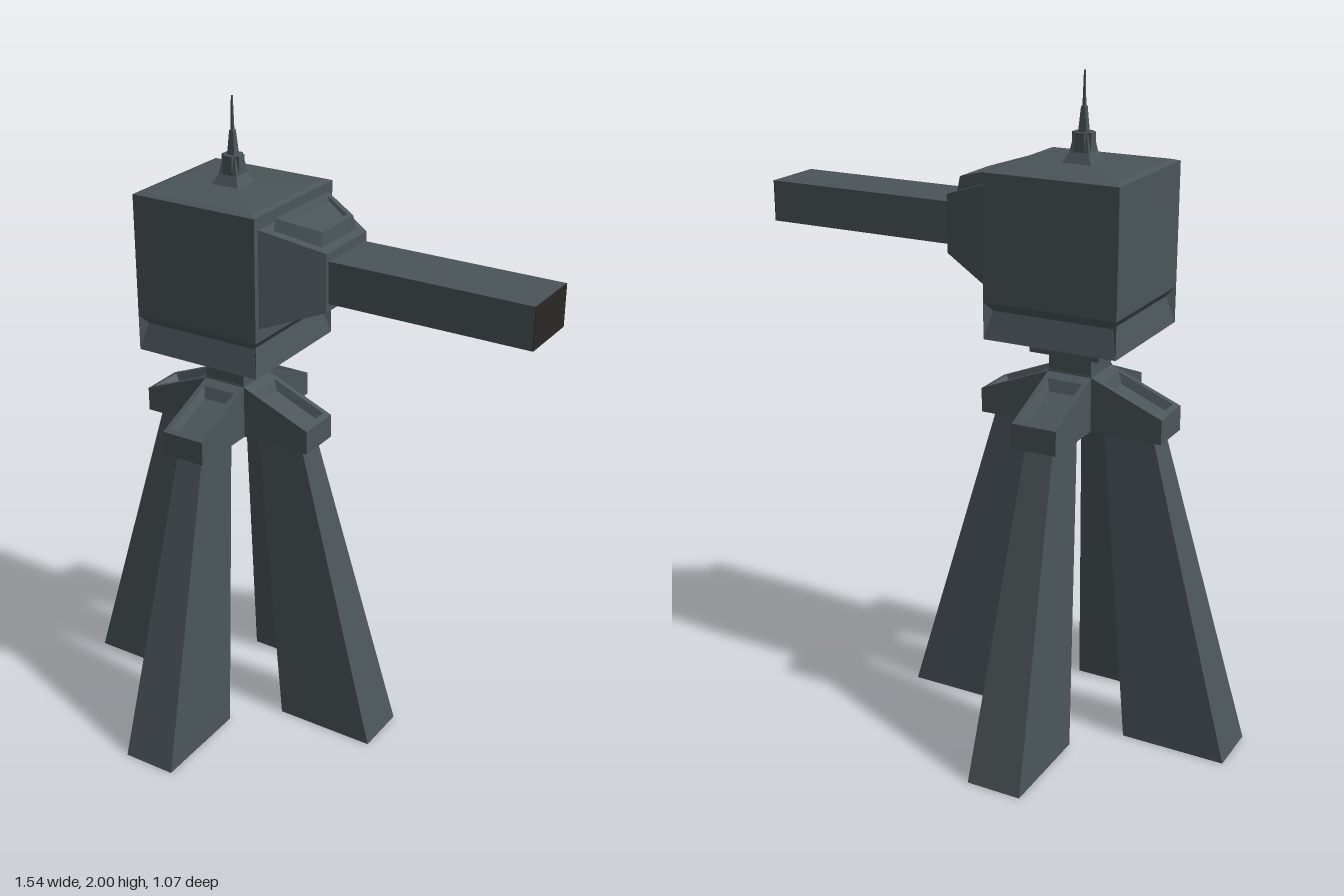
import * as THREE from 'three';

const armour = new THREE.MeshStandardMaterial({ color: 0x4a5559, flatShading: true });
const dark = new THREE.MeshStandardMaterial({ color: 0x2b2727, flatShading: true });

// Skin a stack of equal-length rings (counter-clockwise about the stacking axis) and cap both ends.
function loft(rings) {
  const pos = [];
  const v = (p) => new THREE.Vector3(...p);
  const tri = (a, b, c) => {
    const area = v(b).sub(v(a)).cross(v(c).sub(v(a))).length();
    if (area > 1e-8) pos.push(...a, ...b, ...c);
  };
  const n = rings[0].length;
  for (let k = 0; k + 1 < rings.length; k++) {
    const lo = rings[k], hi = rings[k + 1];
    for (let i = 0; i < n; i++) {
      const j = (i + 1) % n;
      tri(lo[i], lo[j], hi[j]);
      tri(lo[i], hi[j], hi[i]);
    }
  }
  const first = rings[0], last = rings[rings.length - 1];
  for (let i = 1; i + 1 < n; i++) {
    tri(first[0], first[i + 1], first[i]);
    tri(last[0], last[i], last[i + 1]);
  }
  const g = new THREE.BufferGeometry();
  g.setAttribute('position', new THREE.Float32BufferAttribute(pos, 3));
  g.computeVertexNormals();
  return g;
}

// Four-sided ring from x0 to x1; height and half-depth may differ at the two ends.
const quad = (x0, x1, y0, y1, z0, z1 = z0) =>
  [[x1, y1, z1], [x1, y1, -z1], [x0, y0, -z0], [x0, y0, z0]];
// Level square ring
const square = (h, y) => quad(-h, h, y, y, h);
// Upright ring for parts that run along x
const upright = (x, yLo, yHi, z) => [[x, yHi, z], [x, yLo, z], [x, yLo, -z], [x, yHi, -z]];
// Square ring with three points per corner; the sides are pushed in while the corners stay
const notched = (h, y, inset, depth) => {
  const e = h - inset, d = h - depth;
  return [
    [e, y, d], [h, y, h], [d, y, e], [d, y, -e], [h, y, -h], [e, y, -d],
    [-e, y, -d], [-h, y, -h], [-d, y, -e], [-d, y, e], [-h, y, h], [-e, y, d],
  ];
};

function add(parent, name, geometry, material = armour) {
  const m = new THREE.Mesh(geometry, material);
  m.name = name;
  parent.add(m);
  return m;
}

function box(parent, name, size, at, material) {
  const m = add(parent, name, new THREE.BoxGeometry(...size), material);
  m.position.set(...at);
  return m;
}

export function createModel() {
  const model = new THREE.Group();
  model.name = 'gunTower';
  const tower = new THREE.Group();
  tower.name = 'tower';
  tower.position.x = -0.237;
  model.add(tower);

  // Four splayed legs, each under a sloped shoulder with a sunken top panel
  const leg = loft([quad(0.208, 0.533, 0, 0, 0.085), quad(0.1, 0.25, 1, 1, 0.042)]);
  const shoulder = loft([
    quad(0.06, 0.293, 0.97, 0.97, 0.07),
    quad(0.06, 0.293, 1.14, 1.045, 0.07),
    quad(0.1, 0.275, 1.124, 1.052, 0.054),
    quad(0.115, 0.258, 1.09, 1.031, 0.044),
  ]);
  for (let i = 0; i < 4; i++) {
    const limb = new THREE.Group();
    limb.name = 'legAssembly';
    limb.rotation.y = i * Math.PI / 2;
    add(limb, 'leg', leg);
    add(limb, 'shoulder', shoulder);
    tower.add(limb);
  }

  // Hub, neck and turntable
  box(tower, 'hub', [0.14, 0.17, 0.14], [0, 1.055, 0]);
  box(tower, 'neck', [0.136, 0.1, 0.136], [0, 1.17, 0]);
  box(tower, 'turntable', [0.22, 0.055, 0.22], [0, 1.2275, 0]);

  // Head with a V-shaped groove near its foot and a very shallow roof
  const h = 0.208;
  add(tower, 'head', loft([
    notched(h, 1.25, 0, 0), notched(h, 1.332, 0.02, 0.022), notched(h, 1.36, 0, 0),
    notched(h, 1.732, 0, 0), notched(h - 0.018, 1.738, 0, 0), notched(0.04, 1.746, 0, 0),
  ]));

  // Stepped antenna
  add(tower, 'antennaBase', loft([
    square(0.045, 1.735), square(0.045, 1.745), square(0.03, 1.775),
    square(0.02, 1.83),
  ]));
  for (const s of [-1, 1]) {
    box(tower, 'antennaFin', [0.012, 0.055, 0.03], [s * 0.024, 1.803, 0]);
    box(tower, 'antennaFin', [0.03, 0.055, 0.012], [0, 1.803, s * 0.024]);
  }
  add(tower, 'antennaMast', loft([
    square(0.013, 1.82), square(0.007, 1.9), square(0.004, 1.905), square(0.002, 2),
  ]));

  // Tapered gun mount with a framed hatch on its upper slope
  add(tower, 'gunMount', loft([
    upright(0.2, 1.4, 1.697, 0.19), upright(0.21, 1.4, 1.695, 0.188),
    upright(0.382, 1.46, 1.635, 0.11),
  ]));
  add(tower, 'mountHatch', loft([
    quad(0.232, 0.358, 1.66, 1.62, 0.155, 0.1),
    quad(0.235, 0.352, 1.72, 1.685, 0.14, 0.085),
    quad(0.252, 0.338, 1.715, 1.689, 0.115, 0.073),
    quad(0.256, 0.334, 1.705, 1.68, 0.108, 0.068),
  ]));

  // Square barrel and its dark muzzle
  box(tower, 'barrel', [0.635, 0.126, 0.198], [0.6875, 1.547, 0]);
  box(tower, 'muzzle', [0.002, 0.126, 0.198], [1.006, 1.547, 0], dark);

  return model;
}
